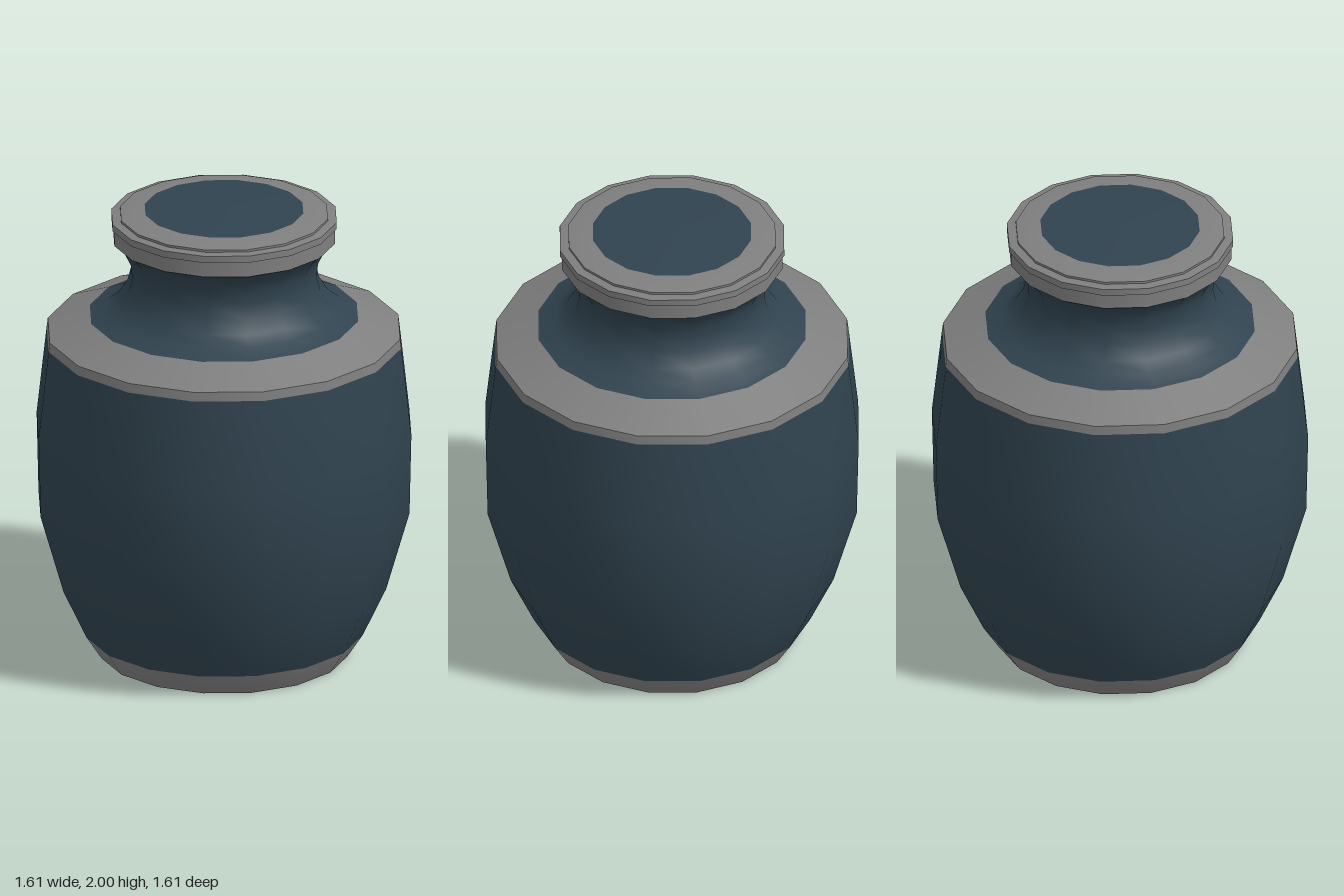
import * as THREE from 'three';

const SIDES = 16;
const blue = new THREE.MeshStandardMaterial({ color: 0x30434f });
const grey = new THREE.MeshStandardMaterial({ color: 0x7f7f7f });

export function createModel() {
  const urn = new THREE.Group();
  urn.name = 'urn';

  // Turns one smooth profile, then splits it into named bands: [name, material, first point, last point].
  // Bands of one profile share normals; separate profiles meet at a sharp edge.
  function turn(profile, bands) {
    const lathe = new THREE.LatheGeometry(profile.map(([r, y]) => new THREE.Vector2(r, y)), SIDES);
    const rows = profile.length - 1;
    const index = Array.from(lathe.index.array);
    for (const [name, material, first, last] of bands) {
      const geometry = lathe.clone();
      geometry.setIndex(index.filter((_, i) => {
        const row = Math.floor(i / 6) % rows;
        return row >= first && row < last;
      }));
      const mesh = new THREE.Mesh(geometry, material);
      mesh.name = name;
      urn.add(mesh);
    }
  }

  // Underside
  turn([[0, 0], [0.53, 0]], [['underside', grey, 0, 1]]);

  // Belly with its foot band and upper band
  turn(
    [[0.53, 0], [0.595, 0.1], [0.695, 0.315], [0.795, 0.665], [0.803, 1.02], [0.76, 1.41], [0.755, 1.45]],
    [['footBand', grey, 0, 1], ['belly', blue, 1, 5], ['upperBand', grey, 5, 6]]
  );

  // Sloped shoulder running into the flared neck
  turn(
    [[0.755, 1.45], [0.575, 1.52], [0.5, 1.552], [0.45, 1.59], [0.412, 1.65], [0.397, 1.71],
      [0.403, 1.77], [0.428, 1.82], [0.468, 1.865]],
    [['shoulder', grey, 0, 1], ['neck', blue, 1, 8]]
  );

  // Rim: underside, collar, step, lip and lid ledge, each with sharp edges
  const rim = [[0.468, 1.865], [0.475, 1.865], [0.475, 1.932], [0.483, 1.932], [0.483, 1.962], [0.445, 1.966], [0.445, 1.976]];
  const rimNames = ['rimUnderside', 'collar', 'rimStep', 'lip', 'lidLedge', 'lidEdge'];
  rimNames.forEach((name, i) => turn(rim.slice(i, i + 2), [[name, grey, 0, 1]]));

  // Slightly domed lid with a coloured centre
  turn([[0.445, 1.976], [0.34, 1.993], [0, 2]], [['lidRing', grey, 0, 1], ['lidCentre', blue, 1, 2]]);

  return urn;
}
